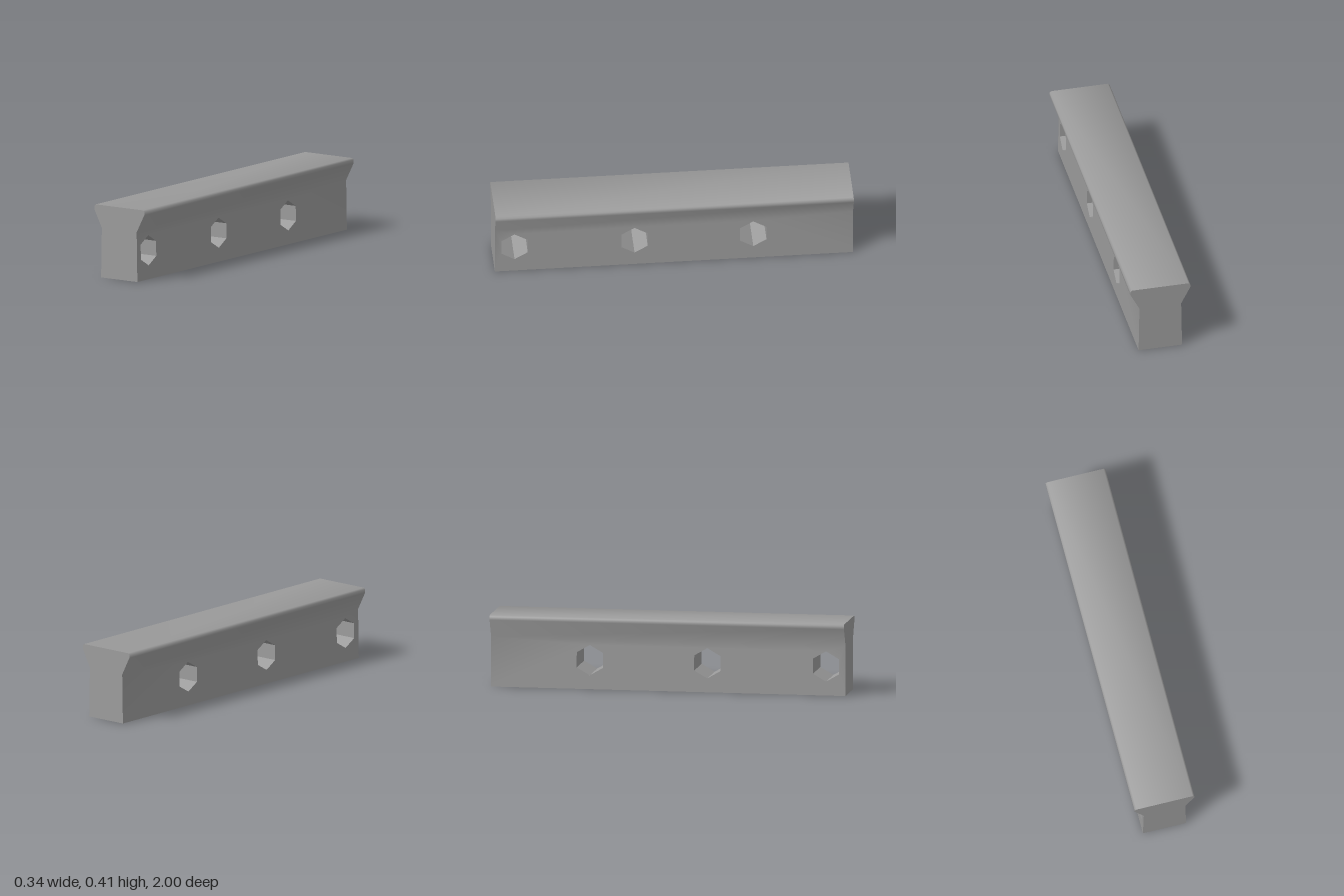
import * as THREE from 'three';
import { mergeGeometries, toCreasedNormals } from 'three/addons/utils/BufferGeometryUtils.js';

const LENGTH = 2;
const SHOULDER = 0.28; // height where the web meets the flared head
const BASE_HALF = 0.124;
const NECK_HALF = 0.119;

const shapeFrom = (pts) => new THREE.Shape(pts.map(([x, y]) => new THREE.Vector2(x, y)));

// Upright web: side outline with hexagonal through-holes, extruded across the width
function webGeometry() {
  const h = LENGTH / 2;
  const side = shapeFrom([[-h, 0], [h, 0], [h, SHOULDER], [-h, SHOULDER]]);
  for (const z of [0.89, 0.22, -0.443]) {
    const hex = [];
    for (let i = 0; i < 6; i++) {
      const a = Math.PI / 2 - (i * Math.PI) / 3;
      hex.push(new THREE.Vector2(-z + 0.085 * Math.cos(a), 0.163 + 0.085 * Math.sin(a)));
    }
    side.holes.push(new THREE.Path(hex));
  }
  const geo = new THREE.ExtrudeGeometry(side, { depth: 1, bevelEnabled: false });
  geo.translate(0, 0, -0.5).rotateY(Math.PI / 2);

  // Taper the walls slightly from base to neck
  const pos = geo.attributes.position;
  for (let i = 0; i < pos.count; i++) {
    const half = THREE.MathUtils.lerp(BASE_HALF, NECK_HALF, pos.getY(i) / SHOULDER);
    pos.setX(i, Math.sign(pos.getX(i)) * half);
  }
  return geo;
}

// Flared head with chamfered top edges, extruded along the length
function headGeometry() {
  const right = [[NECK_HALF, SHOULDER], [0.171, 0.382], [0.171, 0.4], [0.161, 0.409]];
  const left = right.map(([x, y]) => [-x, y]).reverse();
  const geo = new THREE.ExtrudeGeometry(shapeFrom([...right, ...left]), { depth: LENGTH, bevelEnabled: false });
  return geo.translate(0, 0, -LENGTH / 2);
}

export function createModel() {
  const group = new THREE.Group();
  group.name = 'drilledRail';
  // Web and head share soft shading along the flanks; ends, base and holes stay sharp
  const geometry = toCreasedNormals(mergeGeometries([webGeometry(), headGeometry()]), THREE.MathUtils.degToRad(50));
  const rail = new THREE.Mesh(geometry, new THREE.MeshStandardMaterial({ color: 0x9b9b9b }));
  rail.name = 'railBody';
  group.add(rail);
  return group;
}
